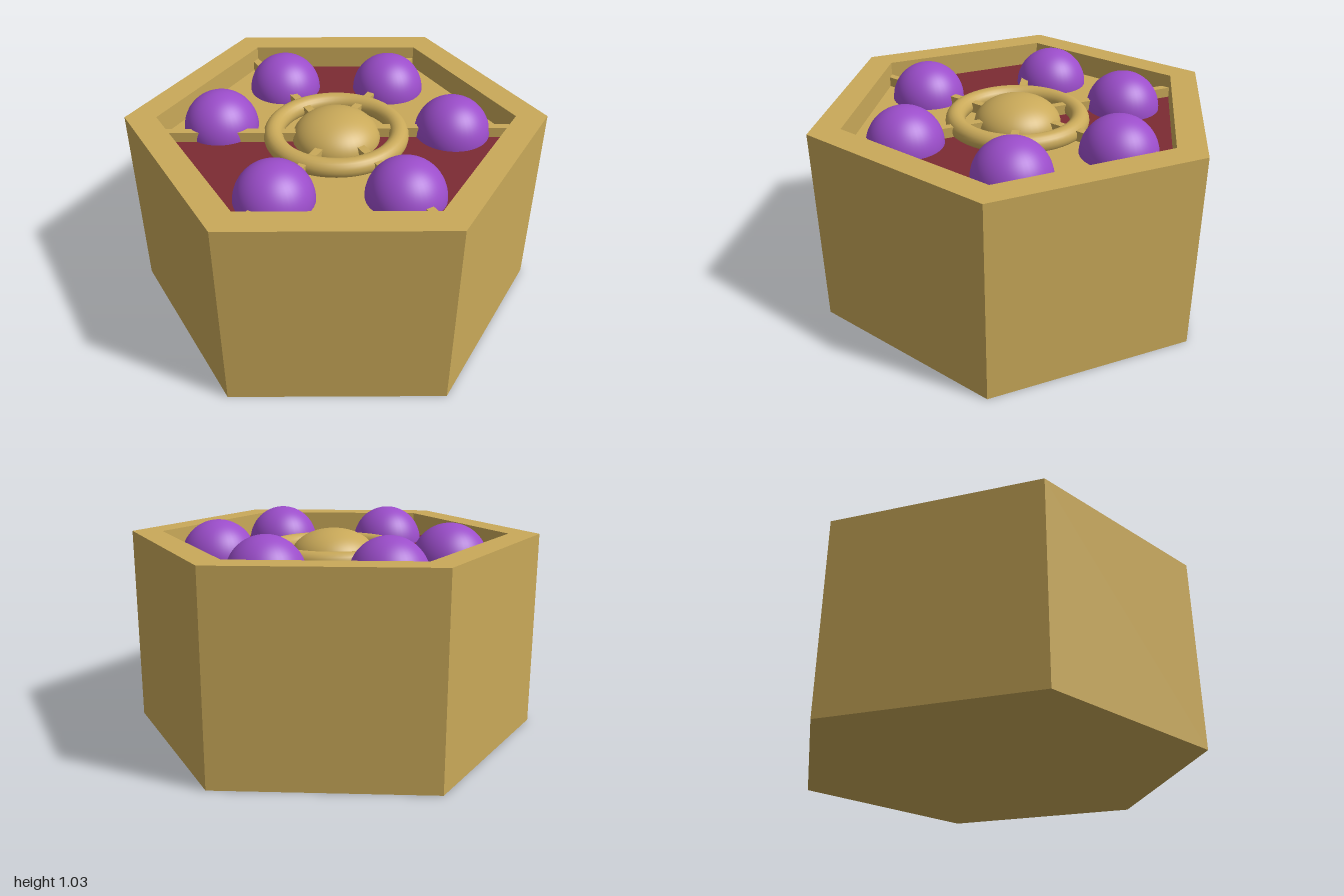
import * as THREE from 'three';

const FLOOR = 0.85; // height of the recessed floor
const INNER = 0.85; // corner radius of the recess

export function createModel() {
  const model = new THREE.Group();
  const gold = new THREE.MeshStandardMaterial({ color: 0xc9a959 });
  gold.name = 'gold';
  const wine = new THREE.MeshStandardMaterial({ color: 0x7c2b33 });
  wine.name = 'wine red';
  const purple = new THREE.MeshStandardMaterial({ color: 0x9b4dca });
  purple.name = 'purple';

  const add = (name, geometry, material, x = 0, y = 0, z = 0) => {
    const mesh = new THREE.Mesh(geometry, material);
    mesh.name = name;
    mesh.position.set(x, y, z);
    model.add(mesh);
    return mesh;
  };

  // Hexagonal casing with a raised rim, turned from one profile in six flat sides
  const profile = [[0, 0], [1, 0], [1, 0.965], [INNER, 0.965], [INNER, FLOOR]]
    .map(([r, y]) => new THREE.Vector2(r, y));
  const casing = new THREE.LatheGeometry(profile, 6, Math.PI / 2).toNonIndexed();
  casing.computeVertexNormals();
  add('casing', casing, gold);

  for (let i = 0; i < 6; i++) {
    const a = (i * Math.PI) / 3;
    const b = a + Math.PI / 3;

    // Triangular floor sector, alternating gold and red
    const triangle = new THREE.Shape([
      new THREE.Vector2(0, 0),
      new THREE.Vector2(INNER * Math.cos(a), INNER * Math.sin(a)),
      new THREE.Vector2(INNER * Math.cos(b), INNER * Math.sin(b)),
    ]);
    add('floorSector', new THREE.ShapeGeometry(triangle).rotateX(-Math.PI / 2),
      i % 2 ? wine : gold, 0, FLOOR, 0);

    // Divider bar lying along one side of each sector line
    const bar = new THREE.BoxGeometry(0.7, 0.05, 0.038).translate(0.5, 0.025, -0.019);
    add('divider', bar, gold, 0, FLOOR, 0).rotation.y = a;
  }

  // Ring and low dome in the middle
  add('centreRing', new THREE.TorusGeometry(0.3, 0.047, 20, 64).rotateX(Math.PI / 2),
    gold, 0, FLOOR + 0.025, 0);
  const hemisphere = (r) => new THREE.SphereGeometry(r, 40, 20, 0, Math.PI * 2, 0, Math.PI / 2);
  add('centreDome', hemisphere(0.21), gold, 0, FLOOR, 0).scale.y = 0.135 / 0.21;

  // Six round domes, one in each sector
  const spots = [[-0.265, -0.5], [0.273, -0.495], [-0.56, -0.11],
    [0.56, -0.05], [-0.27, 0.5], [0.3, 0.48]];
  for (const [x, z] of spots) add('purpleDome', hemisphere(0.181), purple, x, FLOOR, z);

  return model;
}
